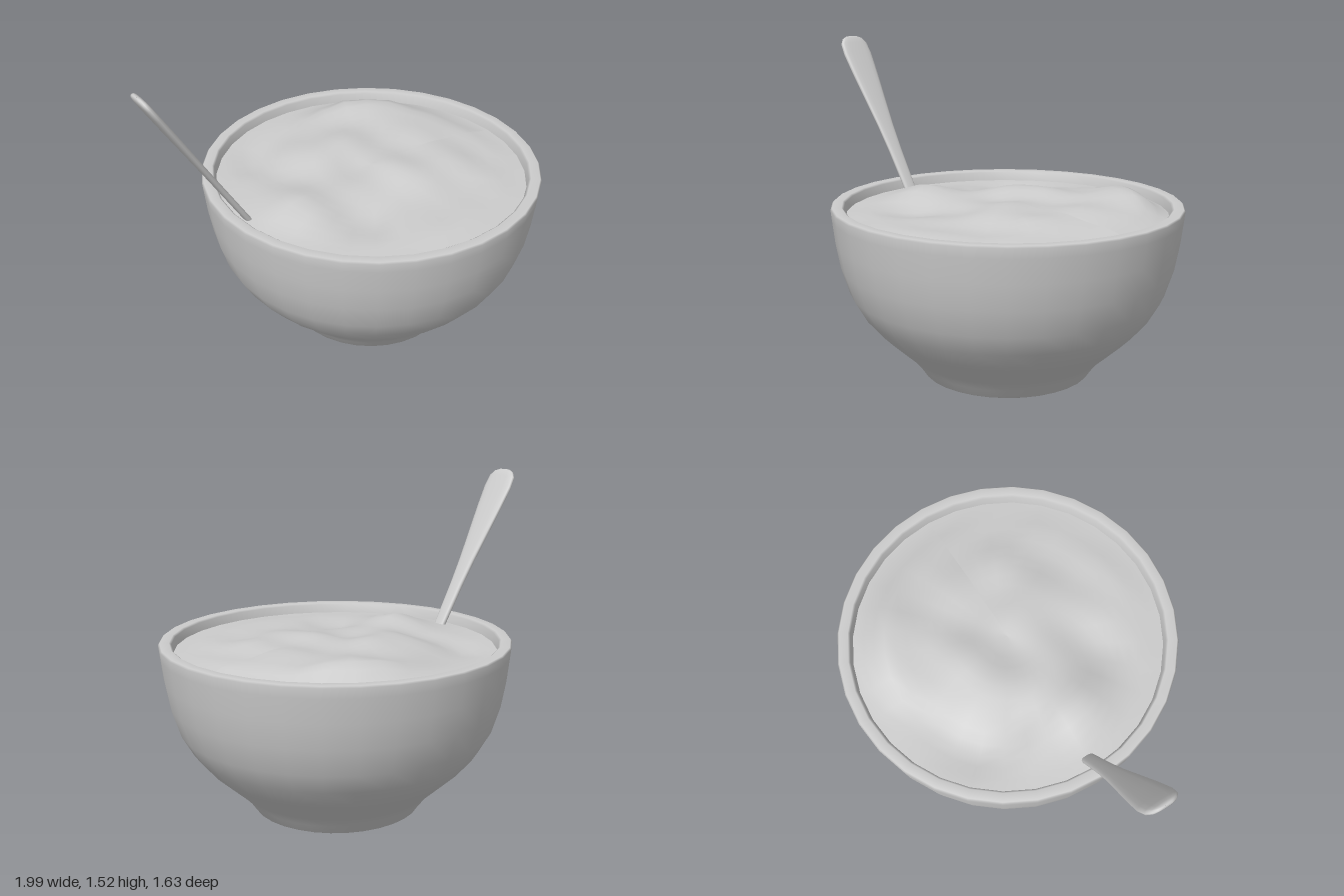
import * as THREE from 'three';

const BOWL_X = 0.18;
const SIDES = 32;

function add(parent, name, geometry, side = THREE.FrontSide) {
  const mesh = new THREE.Mesh(geometry, new THREE.MeshStandardMaterial({ color: 0xcccccc, side }));
  mesh.name = name;
  parent.add(mesh);
  return mesh;
}

// Skin of closed rings of equal length, given as an array of point arrays
function loft(rings) {
  const n = rings[0].length, index = [];
  for (let i = 0; i < rings.length - 1; i++)
    for (let j = 0; j < n; j++) {
      const a = i * n + j, b = i * n + (j + 1) % n;
      index.push(a, b, a + n, b, b + n, a + n);
    }
  const geo = new THREE.BufferGeometry();
  geo.setAttribute('position', new THREE.Float32BufferAttribute(rings.flat(2), 3));
  geo.setIndex(index);
  geo.computeVertexNormals();
  return geo;
}

// Thick-walled bowl with a hollow foot and a rounded rim
function bowlGeometry() {
  const profile = [
    [0, 0.035], [0.32, 0.035], [0.335, 0.03], [0.35, 0.005], [0.36, 0], [0.385, 0], [0.393, 0.004],
    [0.425, 0.05], [0.46, 0.092], [0.53, 0.155], [0.607, 0.225], [0.68, 0.31], [0.735, 0.405],
    [0.775, 0.53], [0.797, 0.65], [0.81, 0.76], [0.815, 0.805], [0.808, 0.813],
    [0.765, 0.813], [0.755, 0.805], [0.745, 0.75], [0.725, 0.6], [0.67, 0.42], [0.56, 0.26],
    [0.38, 0.14], [0, 0.1],
  ].map(([x, y]) => new THREE.Vector2(x, y));
  return new THREE.LatheGeometry(profile, SIDES);
}

// Mounds on the filling: x, z, height, spread (relative to the bowl centre)
const MOUNDS = [
  [0.24, -0.52, 0.06, 0.15], [0.44, -0.46, 0.045, 0.13], [-0.16, -0.24, 0.055, 0.13],
  [0.05, -0.22, 0.04, 0.14], [0.42, -0.12, 0.045, 0.14], [-0.48, 0.12, 0.055, 0.11],
  [-0.28, 0.07, 0.03, 0.12], [0.08, 0.14, 0.045, 0.13], [0.33, 0.18, 0.03, 0.12],
  [-0.3, 0.3, -0.025, 0.12], [-0.05, 0.52, 0.01, 0.12], [-0.42, -0.45, -0.03, 0.15],
];

function fillingHeight(x, z) {
  let y = 0.775;
  for (const [mx, mz, h, s] of MOUNDS)
    y += h * Math.exp(-((x - mx) ** 2 + (z - mz) ** 2) / (2 * s * s));
  y += 0.008 * Math.sin(17 * x + 9 * z) * Math.cos(13 * z - 6 * x);
  const edge = THREE.MathUtils.smoothstep(Math.hypot(x, z), 0.6, 0.745);
  return THREE.MathUtils.lerp(y, 0.765, edge);
}

// Lumpy disc that fills the bowl
function fillingGeometry() {
  const geo = new THREE.RingGeometry(0.001, 0.747, SIDES, 14);
  geo.rotateX(-Math.PI / 2);
  const p = geo.attributes.position;
  for (let i = 0; i < p.count; i++) p.setY(i, fillingHeight(p.getX(i), p.getZ(i)));
  geo.computeVertexNormals();
  return geo;
}

// Spoon handle: flat rounded sections along a leaning line
function handleGeometry() {
  const top = new THREE.Vector3(-0.985, 1.515, 0), low = new THREE.Vector3(-0.485, 0.715, 0);
  const dir = low.clone().sub(top).normalize();
  const flat = new THREE.Vector3(-dir.y, dir.x, 0);
  // distance from the top, half width, half thickness
  const sections = [
    [0, 0.001, 0.001], [0, 0.035, 0.008], [0.012, 0.06, 0.014], [0.04, 0.08, 0.016], [0.1, 0.086, 0.016],
    [0.22, 0.077, 0.016], [0.36, 0.063, 0.015], [0.52, 0.047, 0.014], [0.66, 0.038, 0.014],
    [0.8, 0.034, 0.014], [0.92, 0.031, 0.014], [0.94, 0.024, 0.009], [0.943, 0.001, 0.001],
  ];
  const round = (v) => Math.sign(v) * Math.abs(v) ** 0.7;
  return loft(sections.map(([d, w, t]) => Array.from({ length: 16 }, (_, j) => {
    const a = (j / 16) * Math.PI * 2;
    const c = top.clone().addScaledVector(dir, d).addScaledVector(flat, t * round(Math.sin(a)));
    return [c.x, c.y, w * round(Math.cos(a))];
  })));
}

export function createModel() {
  const model = new THREE.Group();
  model.name = 'bowlWithSpoon';

  const bowl = add(model, 'bowl', bowlGeometry());
  const filling = add(model, 'filling', fillingGeometry(), THREE.DoubleSide);
  bowl.position.x = filling.position.x = BOWL_X;

  add(model, 'spoonHandle', handleGeometry(), THREE.DoubleSide);
  return model;
}
